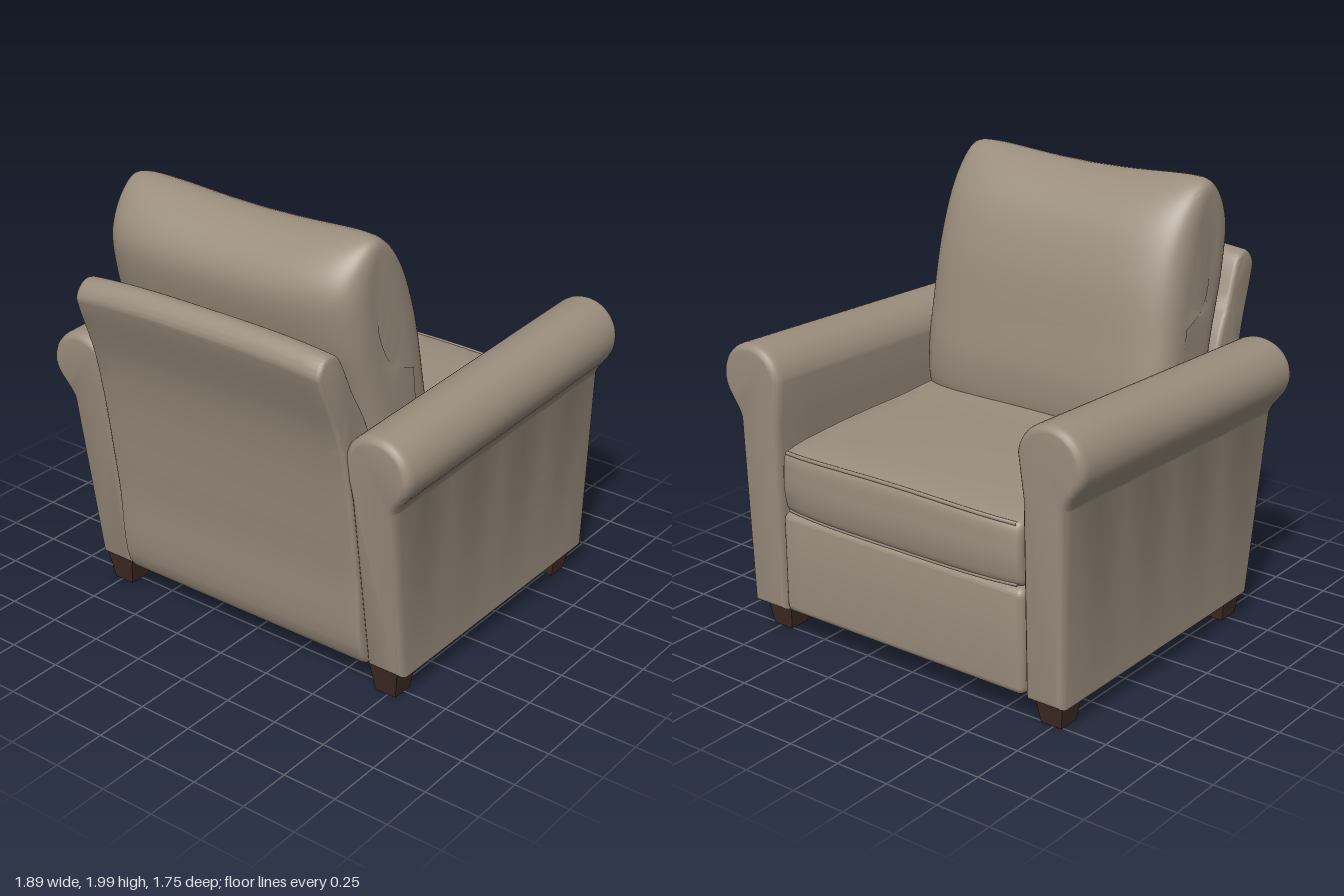
import * as THREE from 'three';
import { mergeVertices, toCreasedNormals } from 'three/addons/utils/BufferGeometryUtils.js';

const fabric = new THREE.MeshStandardMaterial({ color: 0x9a8d7d });
fabric.name = 'taupe upholstery';
const wood = new THREE.MeshStandardMaterial({ color: 0x402b25 });
wood.name = 'dark wood';

// Move every vertex by a rule, then smooth while keeping sharp edges
function finish(geometry, rule, crease = 0.7) {
  const p = geometry.attributes.position;
  const v = new THREE.Vector3();
  for (let i = 0; i < p.count; i++) {
    v.fromBufferAttribute(p, i);
    if (rule) rule(v);
    p.setXYZ(i, v.x, v.y, v.z);
  }
  geometry.deleteAttribute('normal');
  geometry.deleteAttribute('uv');
  return toCreasedNormals(mergeVertices(geometry, 1e-4), crease);
}

function smoothLoop(points, count) {
  const curve = new THREE.CatmullRomCurve3(
    points.map(([a, b]) => new THREE.Vector3(a, b, 0)), true, 'centripetal');
  return curve.getPoints(count).slice(0, -1).map(p => new THREE.Vector2(p.x, p.y));
}

function bevelled(shape, depth, bevel, steps) {
  const g = new THREE.ExtrudeGeometry(shape, {
    depth: depth - 2 * bevel, steps, curveSegments: 20, bevelEnabled: true,
    bevelThickness: bevel, bevelSize: bevel, bevelOffset: -bevel, bevelSegments: 4
  });
  return g.translate(0, 0, bevel);
}

// Side profile given as [z, y], extruded across the width
function acrossWidth(shape, halfWidth, bevel, rule) {
  const g = bevelled(shape, 2 * halfWidth, bevel, 16);
  g.translate(0, 0, -halfWidth).rotateY(-Math.PI / 2);
  return finish(g, rule);
}

function roundedRect(z0, z1, y0, y1, r) {
  const s = new THREE.Shape();
  s.moveTo(z0 + r, y0);
  s.lineTo(z1 - r, y0);
  s.absarc(z1 - r, y0 + r, r, -Math.PI / 2, 0);
  s.absarc(z1 - r, y1 - r, r, 0, Math.PI / 2);
  s.absarc(z0 + r, y1 - r, r, Math.PI / 2, Math.PI);
  s.absarc(z0 + r, y0 + r, r, Math.PI, Math.PI * 1.5);
  return s;
}

// Rolled arm: one cross-section swept front to back, leaning at the rear
function armGeometry() {
  const s = new THREE.Shape();
  s.moveTo(0.655, 0.12);
  s.lineTo(0.84, 0.12);
  s.lineTo(0.86, 0.99);
  s.quadraticCurveTo(0.868, 1.02, 0.9, 1.06);
  s.absarc(0.783, 1.175, 0.161, -0.72, Math.PI * 0.97, false);
  s.lineTo(0.648, 1.0);
  s.closePath();
  return finish(bevelled(s, 1, 0.03, 8), v => {
    // the bevel was made on a unit depth, so stretch only the middle
    const t = v.z;
    const h = (v.y - 0.12) / 1.2;
    const front = -0.835 - 0.02 * h;
    const back = 0.59 + 0.13 * Math.min(h * 1.15, 1);
    v.z = front + t * (back - front);
    v.y -= 0.06 * t * h;
  });
}

// Back cushion: side profile lofted across x, pinched in depth at both ends
function backCushionGeometry() {
  const ring = smoothLoop([[0.11, 0.87], [0.07, 1.06], [0.10, 1.32], [0.155, 1.6],
    [0.25, 1.81], [0.37, 1.925], [0.5, 1.97], [0.65, 1.905], [0.738, 1.78],
    [0.72, 1.6], [0.62, 1.3], [0.54, 1.0], [0.48, 0.86], [0.3, 0.83]], 72);
  const rows = 48, n = ring.length, pos = [], index = [];
  for (let j = 0; j <= rows; j++) {
    const a = (j / rows - 0.5) * Math.PI;
    const across = Math.sign(a) * Math.pow(Math.abs(Math.sin(a)), 0.5);
    const depth = Math.pow(Math.max(Math.cos(a), 0), 0.42);
    const tall = Math.pow(depth, 0.18);
    for (const p of ring) {
      const middle = 0.3 + 0.18 * (p.y - 0.88);
      const h = (p.y - 0.83) / 1.14;
      const lift = 0.055 * across * across * Math.pow(h, 4);
      pos.push(across * (0.66 - 0.025 * h * h),
        1.42 + (p.y - 1.42) * tall + lift,
        middle + (p.x - middle) * depth);
    }
  }
  for (let j = 0; j < rows; j++) {
    for (let i = 0; i < n; i++) {
      const a = j * n + i, b = j * n + (i + 1) % n;
      index.push(a, b, a + n, b, b + n, a + n);
    }
  }
  const g = new THREE.BufferGeometry();
  g.setAttribute('position', new THREE.Float32BufferAttribute(pos, 3));
  g.setIndex(index);
  return finish(g, null, 1.0);
}

export function createModel() {
  const chair = new THREE.Group();
  chair.name = 'armchair';
  const add = (name, geometry, material = fabric) => {
    const m = new THREE.Mesh(geometry, material);
    m.name = name;
    chair.add(m);
    return m;
  };

  // Base with its softly rounded front panel
  add('base', acrossWidth(roundedRect(-0.835, 0.57, 0.125, 0.6, 0.04), 0.645, 0.03));

  // Seat cushion with a crowned top and bowed front
  const bow = x => 0.035 * Math.pow(Math.abs(x) / 0.63, 4);
  const seatProfile = new THREE.Shape(smoothLoop([[-0.845, 0.61], [-0.868, 0.68],
    [-0.872, 0.78], [-0.855, 0.87], [-0.8, 0.89], [-0.5, 0.91], [-0.1, 0.915],
    [0.3, 0.9], [0.4, 0.75], [0.3, 0.6], [-0.3, 0.595], [-0.78, 0.595]], 72));
  add('seatCushion', acrossWidth(seatProfile, 0.635, 0.025, v => {
    if (v.z < -0.6) v.z += bow(v.x);
    if (v.y > 0.8) v.y += 0.02 * (1 - (v.x / 0.635) ** 2);
  }));

  // Piping along the front edges of the seat
  for (const [y, z, crown] of [[0.875, -0.852, 0.02], [0.612, -0.846, 0]]) {
    const pts = [];
    for (let i = -6; i <= 6; i++) {
      const x = i * 0.102;
      pts.push(new THREE.Vector3(x, y + crown * (1 - (x / 0.635) ** 2), z + bow(x)));
    }
    add('seatPiping', new THREE.TubeGeometry(new THREE.CatmullRomCurve3(pts), 32, 0.009, 8));
  }

  add('backCushion', backCushionGeometry());

  // Outer back, flaring rearward at the top
  const backProfile = new THREE.Shape(smoothLoop([[0.59, 0.13], [0.66, 0.6], [0.725, 1.05],
    [0.775, 1.27], [0.863, 1.52], [0.872, 1.565], [0.85, 1.61], [0.81, 1.635],
    [0.75, 1.615], [0.66, 1.42], [0.58, 1.25], [0.5, 0.9], [0.45, 0.13]], 90));
  add('backPanel', acrossWidth(backProfile, 0.655, 0.02, v => {
    const h = Math.max(0, (v.y - 1.1) / 0.53);
    v.x *= 1 - 0.035 * h;
    v.y -= 0.025 * h * Math.pow(Math.abs(v.x) / 0.64, 3);
  }));

  // Arms, mirrored by reversing the winding
  const left = armGeometry();
  const right = left.clone().scale(-1, 1, 1);
  for (const attribute of Object.values(right.attributes)) {
    const a = attribute.array;
    for (let i = 0; i < a.length; i += 9) {
      for (let k = 0; k < 3; k++) [a[i + 3 + k], a[i + 6 + k]] = [a[i + 6 + k], a[i + 3 + k]];
    }
  }
  add('leftArm', left);
  add('rightArm', right);

  // Tapered square feet
  const foot = new THREE.CylinderGeometry(0.1, 0.072, 0.13, 4).rotateY(Math.PI / 4).toNonIndexed();
  foot.computeVertexNormals();
  for (const x of [-0.738, 0.738]) {
    for (const z of [-0.708, 0.51]) {
      add(z < 0 ? 'seatSideFoot' : 'rearFoot', foot, wood).position.set(x, 0.065, z);
    }
  }
  return chair;
}
